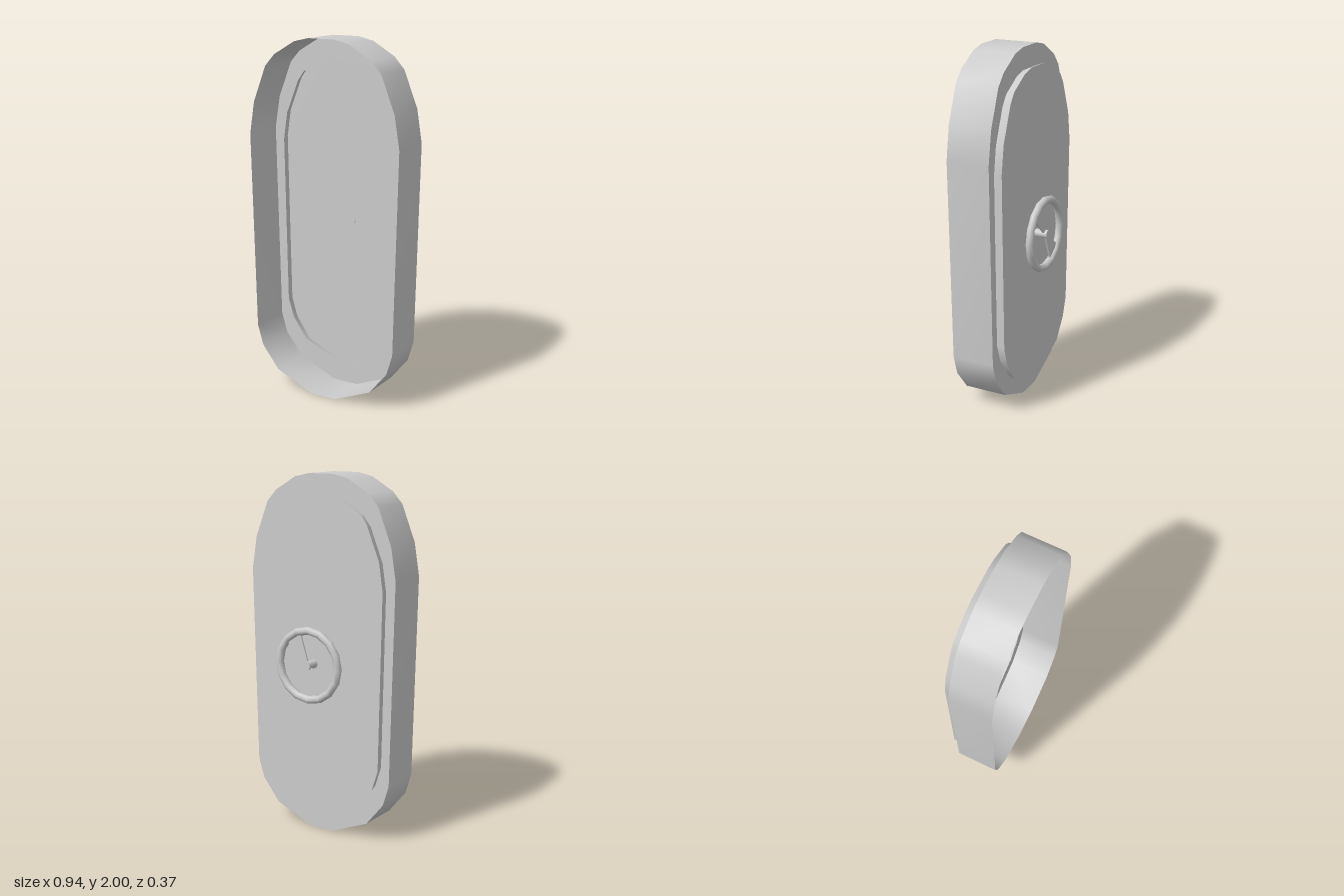
import * as THREE from 'three';

const mat = new THREE.MeshStandardMaterial({ color: 0xcccccc, side: THREE.DoubleSide });

// Right half of each outline, top to bottom; mirrored to a closed loop
const outerHalf = [[0.08, 2], [0.17, 1.98], [0.3, 1.905], [0.36, 1.84], [0.44, 1.64],
  [0.47, 1.46], [0.445, 0.34], [0.41, 0.225], [0.305, 0.095], [0.08, 0]];
const innerHalf = [[0.08, 1.88], [0.155, 1.86], [0.275, 1.79], [0.315, 1.735], [0.39, 1.55],
  [0.413, 1.4], [0.395, 0.44], [0.36, 0.33], [0.275, 0.21], [0.075, 0.127]];

const mirrorLoop = half => [...half, ...half.map(([x, y]) => [-x, y]).reverse()]
  .map(([x, y]) => new THREE.Vector2(x, y));

// Smooth band joining two outlines of equal point count
function band(loopA, zA, loopB, zB) {
  const n = loopA.length, pos = [], index = [];
  loopA.forEach(p => pos.push(p.x, p.y, zA));
  loopB.forEach(p => pos.push(p.x, p.y, zB));
  for (let i = 0; i < n; i++) {
    const j = (i + 1) % n;
    index.push(i, j, n + i, j, n + j, n + i);
  }
  const g = new THREE.BufferGeometry();
  g.setAttribute('position', new THREE.Float32BufferAttribute(pos, 3));
  g.setIndex(index);
  g.computeVertexNormals();
  return g;
}

export function createModel() {
  const group = new THREE.Group();
  const add = (name, geometry, parent = group) => {
    const mesh = new THREE.Mesh(geometry, mat);
    mesh.name = name;
    parent.add(mesh);
    return mesh;
  };

  const outer = mirrorLoop(outerHalf);
  const inner = mirrorLoop(innerHalf);
  const panel = inner.map(p => new THREE.Vector2(p.x * 1.02, 1.003 + (p.y - 1.003) * 1.02));
  const zFront = 0.183, zFlange = -0.06, zPanel = -0.108;

  // Deep frame, open at the front
  add('frameWall', band(outer, zFront, outer, zFlange));

  // Flat flange around the opening, facing the back
  const flange = new THREE.Shape(outer);
  flange.holes.push(new THREE.Path(inner));
  add('frameFlange', new THREE.ShapeGeometry(flange).rotateY(Math.PI).translate(0, 0, zFlange));

  // Door: flared rim and flat panel
  add('doorRim', band(inner, zFlange, panel, zPanel));
  add('doorPanel', new THREE.ShapeGeometry(new THREE.Shape(panel)).rotateY(Math.PI).translate(0, 0, zPanel));

  // Hand wheel on the back
  const wheel = new THREE.Group();
  wheel.name = 'handWheel';
  wheel.position.set(0.014, 0.972, -0.161);
  group.add(wheel);
  add('wheelRing', new THREE.TorusGeometry(0.193, 0.022, 8, 16), wheel);
  add('wheelShaft', new THREE.CylinderGeometry(0.024, 0.024, 0.075, 12).rotateX(Math.PI / 2)
    .translate(0, 0, 0.018), wheel);

  // Two wedge spokes widening toward the ring
  for (const deg of [57, 232]) {
    const spoke = new THREE.Shape([
      new THREE.Vector2(0.005, -0.006), new THREE.Vector2(0.183, -0.055),
      new THREE.Vector2(0.183, 0.055), new THREE.Vector2(0.005, 0.006)]);
    const mesh = add('wheelSpoke', new THREE.ExtrudeGeometry(spoke, { depth: 0.01, bevelEnabled: false })
      .translate(0, 0, -0.005), wheel);
    mesh.rotation.z = THREE.MathUtils.degToRad(deg);
  }
  return group;
}
